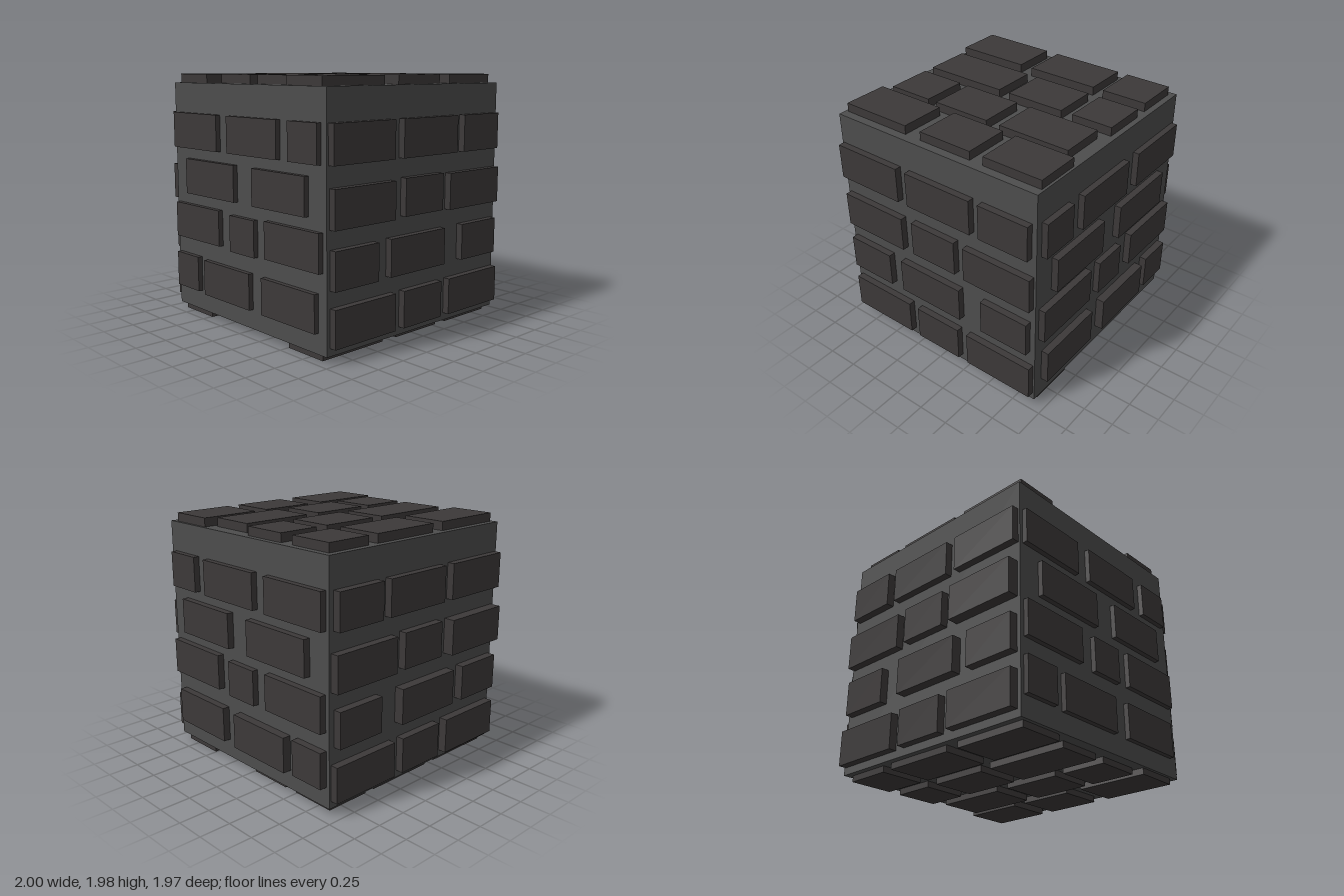
import * as THREE from 'three';

export function createModel() {
  const model = new THREE.Group();
  const mortar = new THREE.MeshStandardMaterial({ color: 0x4d4d4d });
  const brick = new THREE.MeshStandardMaterial({ color: 0x3c3939 });

  // Box spanning two opposite corners
  function block(name, material, parent, [x0, x1], [y0, y1], [z0, z1]) {
    const mesh = new THREE.Mesh(new THREE.BoxGeometry(x1 - x0, y1 - y0, z1 - z0), material);
    mesh.position.set((x0 + x1) / 2, (y0 + y1) / 2, (z0 + z1) / 2);
    mesh.name = name;
    parent.add(mesh);
  }

  function group(name) {
    const g = new THREE.Group();
    g.name = name;
    model.add(g);
    return g;
  }

  block('mortarCore', mortar, model, [-0.91, 0.945], [0.05, 1.91], [-0.915, 0.945]);

  // Bricks run right through the core and stand proud at both ends.

  // Front to back: x start, x end, y bottom, y top, back end
  const frontBack = group('frontBackBricks');
  [
    [-0.88, -0.28, 1.385, 1.67, -0.965], [-0.145, 0.455, 1.385, 1.67, -0.965], [0.58, 0.89, 1.385, 1.67, -0.965],
    [-0.715, -0.065, 1.015, 1.3, -0.97], [0.16, 0.76, 1.015, 1.3, -0.97],
    [-0.875, -0.27, 0.64, 0.925, -0.97], [-0.125, 0.18, 0.625, 0.91, -0.965], [0.305, 0.905, 0.64, 0.925, -0.97],
    [-0.88, -0.575, 0.215, 0.5, -0.975], [-0.49, 0.11, 0.205, 0.49, -0.985], [0.26, 0.86, 0.205, 0.49, -0.975],
  ].forEach(([x0, x1, y0, y1, back]) =>
    block('frontBackBrick', brick, frontBack, [x0, x1], [y0, y1], [back, 0.985]));

  // Side to side: z start, z end, y bottom, y top, -x end
  const sideways = group('sideBricks');
  [
    [0.33, 0.93, 1.385, 1.67, -0.97], [-0.365, 0.24, 1.385, 1.67, -0.97], [-0.875, -0.445, 1.385, 1.67, -0.975],
    [0.32, 0.92, 0.945, 1.23, -1], [-0.205, 0.215, 0.955, 1.24, -0.975], [-0.895, -0.29, 0.945, 1.23, -0.975],
    [0.49, 0.915, 0.52, 0.805, -0.98], [-0.235, 0.365, 0.525, 0.81, -0.99], [-0.87, -0.445, 0.525, 0.81, -0.975],
    [0.31, 0.915, 0.11, 0.395, -0.98], [-0.205, 0.22, 0.11, 0.395, -0.975], [-0.9, -0.295, 0.11, 0.395, -0.975],
  ].forEach(([z0, z1, y0, y1, end]) =>
    block('sideBrick', brick, sideways, [end, 1], [y0, y1], [z0, z1]));

  // Top to bottom: columns along z, each listing its z spans
  const upright = group('topBottomBricks');
  [
    [-0.86, [-0.865, -0.49], [-0.4, 0.2], [0.31, 0.915]],
    [-0.375, [-0.87, -0.53], [-0.43, 0.06], [0.155, 0.855]],
    [0.085, [-0.81, -0.21], [-0.09, 0.4], [0.48, 0.855]],
    [0.505, [-0.895, -0.4], [-0.285, 0.175], [0.32, 0.92]],
  ].forEach(([x, ...spans]) => spans.forEach((span) =>
    block('topBottomBrick', brick, upright, [x, x + 0.37], [0, 1.98], span)));

  return model;
}
